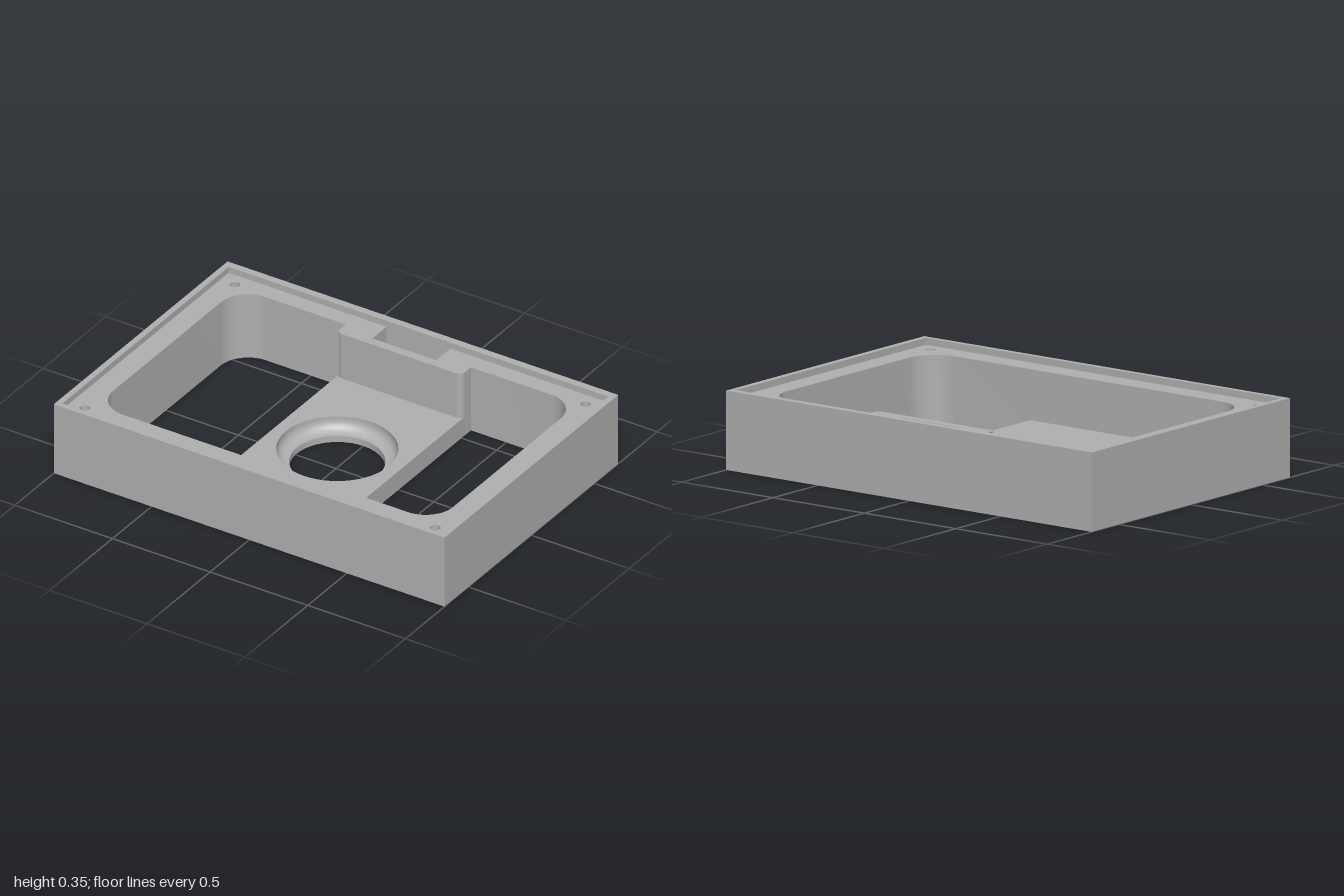
import * as THREE from 'three';
import { toCreasedNormals } from 'three/addons/utils/BufferGeometryUtils.js';

const HALF_X = 1, HALF_Z = 0.69, HEIGHT = 0.35;
const LEDGE = 0.32;          // height of the recessed ledge inside the lip
const FLOOR = 0.095;         // thickness of the central bridge
const BACK = -0.575, FRONT = 0.56, SIDE = 0.87, CORNER = 0.14;
const BRIDGE = 0.32, BLOCK_Z = -0.5, BLOCK_R = 0.03;
const HOLE_Z = -0.01, HOLE_OUT = 0.263, HOLE_IN = 0.207;
const SCREW_R = 0.022, SCREW_BOTTOM = 0.17;

// Rectangle outline in plan, x by z
function rect(path, x0, z0, x1, z1) {
  path.moveTo(x0, z0);
  path.lineTo(x1, z0);
  path.lineTo(x1, z1);
  path.lineTo(x0, z1);
  path.closePath();
  return path;
}

function circle(x, z, r) {
  return new THREE.Path().absarc(x, z, r, 0, Math.PI * 2, false);
}

// Front edge of the rear block, with rounded corners, from left to right
function blockEdge(path) {
  path.lineTo(-BRIDGE, BLOCK_Z - BLOCK_R);
  path.quadraticCurveTo(-BRIDGE, BLOCK_Z, -BRIDGE + BLOCK_R, BLOCK_Z);
  path.lineTo(BRIDGE - BLOCK_R, BLOCK_Z);
  path.quadraticCurveTo(BRIDGE, BLOCK_Z, BRIDGE, BLOCK_Z - BLOCK_R);
}

// Stands a plan shape up between two heights
function slab(shape, y0, y1) {
  const geo = new THREE.ExtrudeGeometry(shape, { depth: y1 - y0, bevelEnabled: false, curveSegments: 24 });
  geo.rotateX(Math.PI / 2);
  geo.translate(0, y1, 0);
  return toCreasedNormals(geo, 0.5);
}

export function createModel() {
  const group = new THREE.Group();
  group.name = 'housingFrame';
  const grey = new THREE.MeshStandardMaterial({ color: 0xb0b0b0 });
  grey.name = 'grey';
  const add = (name, geo) => {
    const mesh = new THREE.Mesh(geo, grey);
    mesh.name = name;
    group.add(mesh);
    return mesh;
  };

  // Main opening, notched at the rear by the slotted block
  const opening = new THREE.Path();
  const cx = SIDE - CORNER;
  opening.moveTo(-cx, BACK);
  opening.lineTo(-BRIDGE, BACK);
  blockEdge(opening);
  opening.lineTo(BRIDGE, BACK);
  opening.absarc(cx, BACK + CORNER, CORNER, -Math.PI / 2, 0, false);
  opening.absarc(cx, FRONT - CORNER, CORNER, 0, Math.PI / 2, false);
  opening.absarc(-cx, FRONT - CORNER, CORNER, Math.PI / 2, Math.PI, false);
  opening.absarc(-cx, BACK + CORNER, CORNER, Math.PI, Math.PI * 1.5, false);

  // Frame body with opening, rear slot and screw holes
  const frame = rect(new THREE.Shape(), -HALF_X, -HALF_Z, HALF_X, HALF_Z);
  frame.holes.push(opening, rect(new THREE.Path(), -0.163, -0.655, 0.163, -0.542));
  for (const x of [-0.897, 0.897]) {
    for (const z of [-0.59, 0.603]) {
      frame.holes.push(circle(x, z, SCREW_R));
      // Closed bottom of each screw hole
      const plug = add('screwHoleBottom', new THREE.CylinderGeometry(SCREW_R, SCREW_R, SCREW_BOTTOM, 24));
      plug.position.set(x, SCREW_BOTTOM / 2, z);
    }
  }
  add('frameBody', slab(frame, 0, LEDGE));

  // Thin lip around the ledge
  const lip = rect(new THREE.Shape(), -HALF_X, -HALF_Z, HALF_X, HALF_Z);
  lip.holes.push(rect(new THREE.Path(), -0.972, -0.655, 0.972, 0.665));
  add('lip', slab(lip, LEDGE, HEIGHT));

  // Low bridge across the middle
  const bridge = new THREE.Shape();
  bridge.moveTo(-BRIDGE, FRONT);
  blockEdge(bridge);
  bridge.lineTo(BRIDGE, FRONT);
  bridge.closePath();
  bridge.holes.push(circle(0, HOLE_Z, HOLE_OUT));
  add('bridge', slab(bridge, 0, FLOOR));

  // Round seat with a filleted step down to the through hole
  const seatY = 0.03, fillet = 0.052;
  const profile = [new THREE.Vector2(HOLE_OUT, FLOOR)];
  for (let i = 0; i <= 8; i++) {
    const a = (i / 8) * Math.PI / 2;
    profile.push(new THREE.Vector2(
      HOLE_OUT - fillet + fillet * Math.cos(a),
      seatY + fillet - fillet * Math.sin(a)));
  }
  profile.push(
    new THREE.Vector2(HOLE_IN, seatY),
    new THREE.Vector2(HOLE_IN, 0),
    new THREE.Vector2(HOLE_OUT, 0));
  const seat = add('roundSeat', toCreasedNormals(new THREE.LatheGeometry(profile, 48), 0.5));
  seat.position.z = HOLE_Z;

  return group;
}
